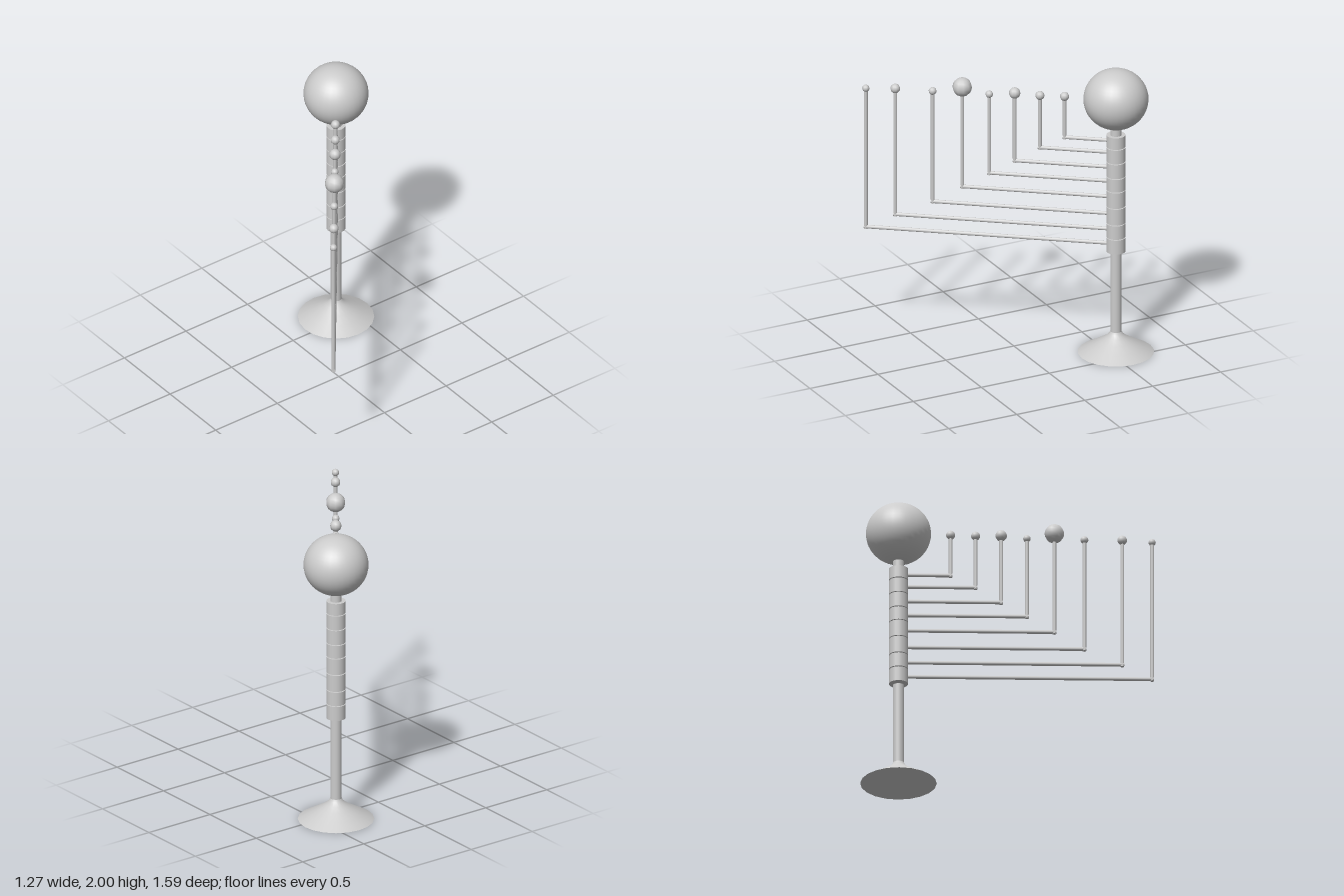
import * as THREE from 'three';

const AXIS_X = 0.385, AXIS_Z = -0.55;
const COLUMN_R = 0.063, POLE_R = 0.037, ROD_R = 0.013;

// one entry per planet: distance from the axis, arm height, ball height, ball radius
const PLANETS = [
  [0.34, 1.5, 1.79, 0.03],
  [0.503, 1.415, 1.785, 0.03],
  [0.67, 1.31, 1.79, 0.038],
  [0.838, 1.21, 1.77, 0.025],
  [1.017, 1.1, 1.808, 0.064],
  [1.213, 0.98, 1.765, 0.026],
  [1.46, 0.87, 1.765, 0.032],
  [1.655, 0.768, 1.752, 0.024],
];
// joints between the stacked collars, from the top down
const JOINTS = [1.545, 1.457, 1.354, 1.249, 1.153, 1.037, 0.918, 0.817, 0.712];

export function createModel() {
  const root = new THREE.Group();
  root.name = 'orrery';
  const material = new THREE.MeshStandardMaterial({ color: 0xcccccc });

  function add(parent, name, geometry, x = 0, y = 0, z = 0) {
    const mesh = new THREE.Mesh(geometry, material);
    mesh.name = name;
    mesh.position.set(x, y, z);
    parent.add(mesh);
    return mesh;
  }
  function addRod(parent, name, r, y0, y1, x = 0, sides = 8) {
    return add(parent, name, new THREE.CylinderGeometry(r, r, y1 - y0, sides), x, (y0 + y1) / 2);
  }

  // everything turns about the off-centre column; local +x runs along the arms
  const stand = new THREE.Group();
  stand.name = 'stand';
  stand.position.set(AXIS_X, 0, AXIS_Z);
  stand.rotation.y = -Math.atan2(1.32, -1.0);
  root.add(stand);

  // flared foot with a flat underside
  const profile = [[0.25, 0], [0.175, 0.042], [0.111, 0.08], [0.069, 0.107], [0.045, 0.13], [POLE_R, 0.147]]
    .map(([r, y]) => new THREE.Vector2(r, y));
  add(stand, 'foot', new THREE.LatheGeometry(profile, 20));
  const underside = add(stand, 'footUnderside', new THREE.CircleGeometry(0.25, 20));
  underside.rotation.set(Math.PI / 2, 0, Math.PI / 2);

  // pole below the collars, and the neck under the sun
  addRod(stand, 'pole', POLE_R, 0.14, 0.705, 0, 20);
  addRod(stand, 'neck', POLE_R, 1.54, 1.62, 0, 20);

  // slightly flattened sun
  const sun = add(stand, 'sun', new THREE.SphereGeometry(0.213, 32, 24), 0, 1.796);
  sun.scale.y = 0.958;

  // one collar, arm, upright and ball per planet
  PLANETS.forEach(([reach, armY, ballY, ballR], i) => {
    const planet = new THREE.Group();
    planet.name = `planetArm${i + 1}`;
    stand.add(planet);
    addRod(planet, 'collar', COLUMN_R, JOINTS[i + 1] + 0.003, JOINTS[i] - 0.003, 0, 20);
    const length = reach + ROD_R - 0.03;
    const arm = addRod(planet, 'arm', ROD_R, 0, length);
    arm.rotation.z = Math.PI / 2;
    arm.position.set(0.03 + length / 2, armY, 0);
    addRod(planet, 'upright', ROD_R, armY - ROD_R, ballY, reach);
    add(planet, 'planet', new THREE.SphereGeometry(ballR, 10, 10), reach, ballY);
  });

  return root;
}
